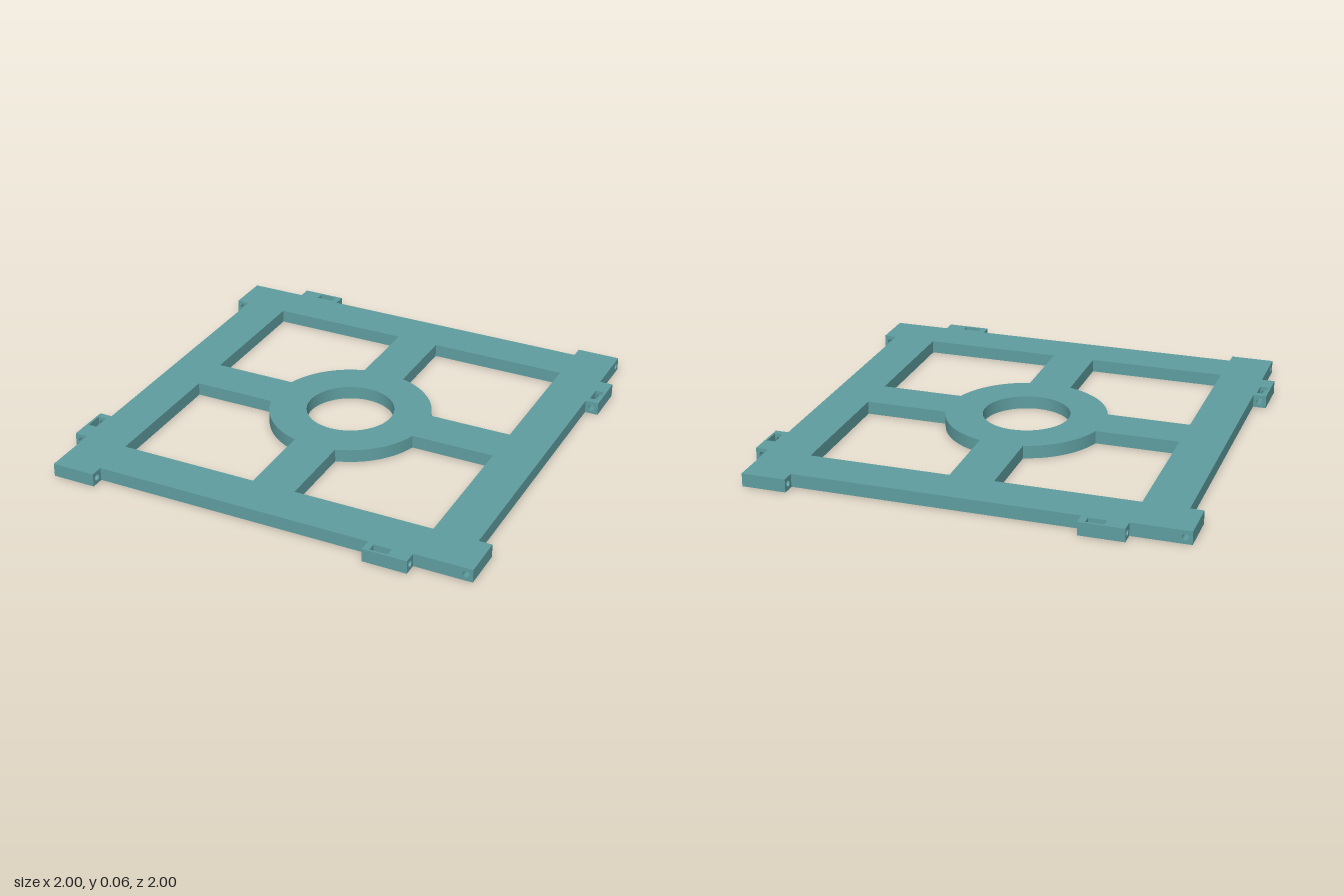
import * as THREE from 'three';
import { toCreasedNormals } from 'three/addons/utils/BufferGeometryUtils.js';

const T = 0.06;        // plate thickness
const EDGE = 0.94;     // half width of the square frame
const INNER = 0.74;    // inner edge of the frame bars
const SPOKE = 0.1;     // half width of a spoke
const RING = 0.37, BORE = 0.2;
const MID = EDGE + T / 2;
const material = new THREE.MeshStandardMaterial({ color: 0x5f9ea0 });

function mesh(name, geometry) {
  const m = new THREE.Mesh(toCreasedNormals(geometry, 0.5), material);
  m.name = name;
  return m;
}

function extrude(shape, depth, curveSegments = 16) {
  return new THREE.ExtrudeGeometry(shape, { depth, bevelEnabled: false, curveSegments });
}

function rectangle(x0, y0, x1, y1) {
  return new THREE.Shape([[x0, y0], [x1, y0], [x1, y1], [x0, y1]].map(p => new THREE.Vector2(...p)));
}

function box(name, x0, x1, y0, y1, z0, z1) {
  const g = new THREE.BoxGeometry(x1 - x0, y1 - y0, z1 - z0);
  return mesh(name, g.translate((x0 + x1) / 2, (y0 + y1) / 2, (z0 + z1) / 2));
}

// Frame, spokes and centre ring cut from one plate
function createPlate() {
  const shape = rectangle(-EDGE, -EDGE, EDGE, EDGE);
  const bore = new THREE.Path();
  bore.absarc(0, 0, BORE, 0, Math.PI * 2, true);
  shape.holes.push(bore);

  // One window: three frame corners, then the bite of the ring
  const a = Math.asin(SPOKE / RING);
  const corners = [[SPOKE, INNER], [INNER, INNER], [INNER, SPOKE]].map(p => new THREE.Vector2(...p));
  for (let i = 0; i <= 20; i++) {
    const t = a + (Math.PI / 2 - 2 * a) * i / 20;
    corners.push(new THREE.Vector2(RING * Math.cos(t), RING * Math.sin(t)));
  }
  const origin = new THREE.Vector2();
  for (let k = 0; k < 4; k++) {
    shape.holes.push(new THREE.Path(corners.map(p => p.clone().rotateAround(origin, k * Math.PI / 2))));
  }
  return mesh('framePlate', extrude(shape, T, 40).rotateX(-Math.PI / 2));
}

// Block along the front edge with a pin hole running through its length
function drilledBlock(name, x0, x1) {
  const shape = rectangle(-T / 2, 0, T / 2, T);
  const hole = new THREE.Path();
  hole.absarc(0, T / 2, 0.015, 0, Math.PI * 2, true);
  shape.holes.push(hole);
  return mesh(name, extrude(shape, x1 - x0, 8).rotateY(Math.PI / 2).translate(x0, 0, MID));
}

// Tab with a pocket open to the top, its floor slightly dished
function createPocketTab() {
  const tab = new THREE.Group();
  tab.name = 'pocketTab';
  const p0 = 0.57, p1 = 0.65, wall = 0.01;
  tab.add(drilledBlock('tabEnd', 0.54, p0), drilledBlock('tabEnd', p1, INNER));
  tab.add(box('pocketWall', p0, p1, 0, T, EDGE, EDGE + wall));
  tab.add(box('pocketWall', p0, p1, 0, T, 1 - wall, 1));
  const floor = new THREE.Shape();
  floor.moveTo(p0, 0);
  floor.lineTo(p1, 0);
  floor.lineTo(p1, 0.015);
  floor.quadraticCurveTo((p0 + p1) / 2, 0.005, p0, 0.015);
  tab.add(mesh('pocketFloor', extrude(floor, T - 2 * wall, 8).translate(0, 0, EDGE + wall)));
  return tab;
}

export function createModel() {
  const model = new THREE.Group();
  model.name = 'connectorFrame';
  model.add(createPlate());
  // The same pair of joining tabs on each of the four sides
  for (let k = 0; k < 4; k++) {
    const side = new THREE.Group();
    side.name = 'sideTabs';
    side.add(drilledBlock('cornerTab', -EDGE, -INNER), createPocketTab());
    side.rotation.y = k * Math.PI / 2;
    model.add(side);
  }
  return model;
}
